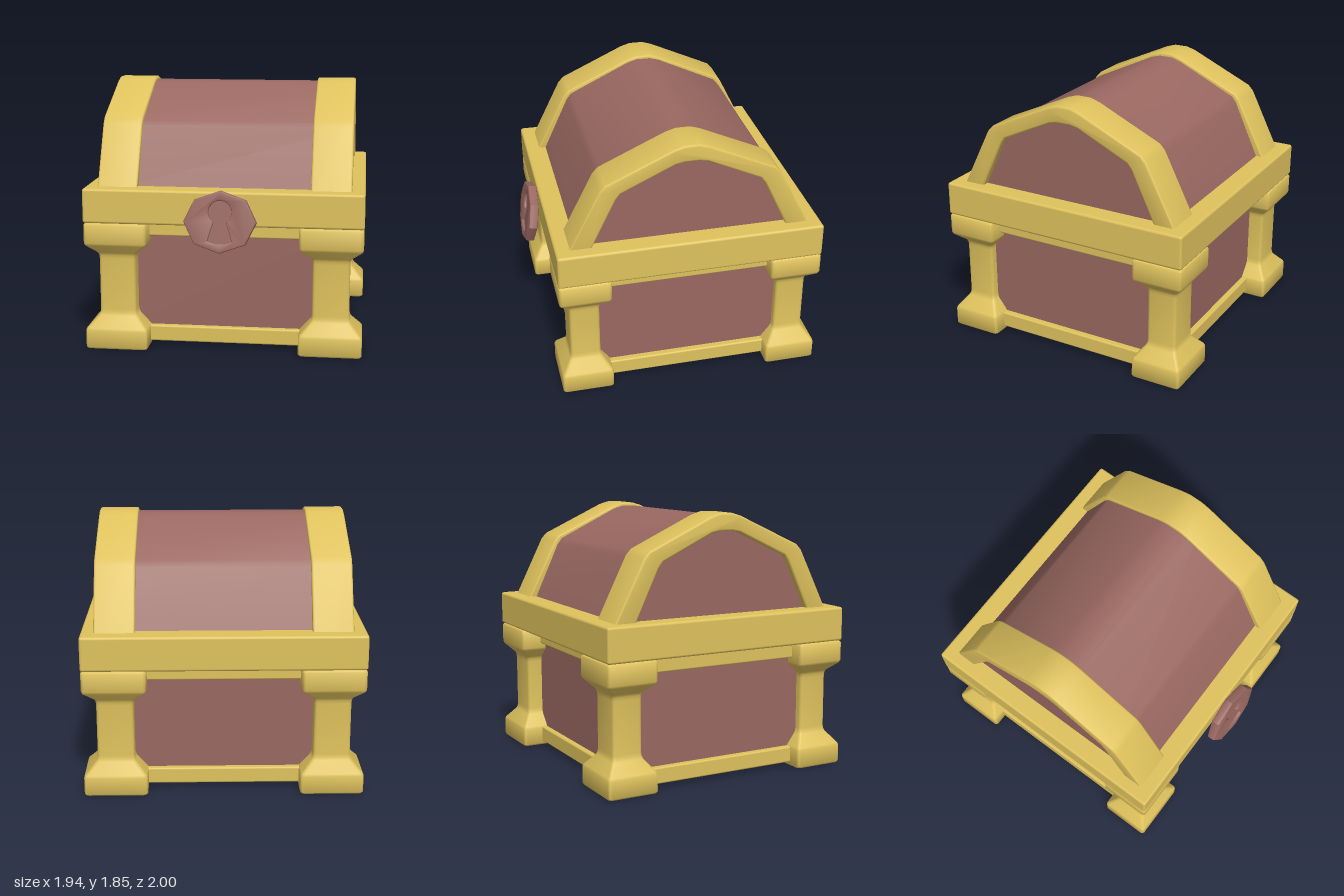
import * as THREE from 'three';
import { toCreasedNormals } from 'three/addons/utils/BufferGeometryUtils.js';
import { RoundedBoxGeometry } from 'three/addons/geometries/RoundedBoxGeometry.js';

const CZ = -0.067; // centre of the chest in z (the lock hangs in front of it)

export function createModel() {
  const root = new THREE.Group();
  root.name = 'treasureChest';
  const gold = new THREE.MeshStandardMaterial({ name: 'gold', color: 0xdfc25d });
  const wood = new THREE.MeshStandardMaterial({ name: 'reddishWood', color: 0x9a6861 });

  const add = (name, geometry, material, parent = root) => {
    const mesh = new THREE.Mesh(geometry, material);
    mesh.name = name;
    parent.add(mesh);
    return mesh;
  };
  // Box given by half sizes in x and z and its bottom and top
  const slab = (name, hx, hz, y0, y1, r, material) =>
    add(name, new RoundedBoxGeometry(hx * 2, y1 - y0, hz * 2, 2, r), material)
      .position.set(0, (y0 + y1) / 2, CZ);

  // Lower box with its rails, and the rim of the lid
  slab('body', 0.82, 0.745, 0.08, 0.86, 0.01, wood);
  slab('bottomRail', 0.865, 0.785, 0.03, 0.145, 0.012, gold);
  slab('topRail', 0.865, 0.785, 0.8, 0.915, 0.012, gold);
  slab('lidRim', 0.97, 0.932, 0.91, 1.153, 0.018, gold);

  // Corner posts: wide foot and cap, slim shaft
  const post = loft([
    [0, 0.2, 0.165], [0.005, 0.212, 0.177], [0.016, 0.22, 0.183],
    [0.135, 0.22, 0.183], [0.152, 0.213, 0.177],
    [0.232, 0.139, 0.116], [0.252, 0.131, 0.109], [0.275, 0.128, 0.107],
    [0.645, 0.128, 0.107], [0.668, 0.131, 0.109], [0.688, 0.139, 0.116],
    [0.75, 0.213, 0.177], [0.768, 0.22, 0.183],
    [0.895, 0.22, 0.183], [0.906, 0.212, 0.177], [0.91, 0.2, 0.165],
  ], 0.022);
  for (const sx of [1, -1]) for (const sz of [1, -1]) {
    add((sz > 0 ? 'front' : 'back') + (sx > 0 ? 'Left' : 'Right') + 'Post', post, gold)
      .position.set(sx * 0.748, 0, CZ + sz * 0.749);
  }

  // Barrel of the lid; its ends are the panels inside the bands
  const barrel = arch([[0.797, 1.12], [0.6, 1.545], [0.565, 1.59], [0.12, 1.802], [0.05, 1.822]]);
  const barrelShape = new THREE.Shape(barrel);
  add('lidBarrel', along(barrelShape, 1.66, 0), wood).position.set(0, 0, CZ);

  // Gold bands over both ends of the lid
  const outer = arch([[0.848, 1.12], [0.622, 1.57], [0.583, 1.612], [0.12, 1.824], [0.05, 1.845]]);
  const inner = arch([[0.695, 1.12], [0.512, 1.5], [0.48, 1.54], [0.11, 1.712], [0.05, 1.725]]);
  const bandShape = new THREE.Shape([...outer, ...inner.reverse()]);
  const band = along(bandShape, 0.28, 0.014);
  for (const s of [1, -1]) {
    add(s > 0 ? 'leftBand' : 'rightBand', band, gold).position.set(s * 0.74, 0, CZ);
  }

  // Tilted eight-sided lock with a sunken keyhole
  const lock = new THREE.Group();
  lock.name = 'lock';
  const octagon = (k) => new THREE.Shape(Array.from({ length: 8 }, (_, i) => {
    const a = i * Math.PI / 4;
    return new THREE.Vector2(Math.cos(a) * 0.248 * k, Math.sin(a) * 0.212 * k);
  }));
  const plate = octagon(1);
  const hole = new THREE.Path();
  hole.moveTo(-0.082, -0.128);
  hole.lineTo(-0.042, 0.0);
  hole.absarc(0, 0.067, 0.078, -2.14, -1.0 - Math.PI * 2 + Math.PI * 2, true);
  hole.lineTo(0.042, 0.0);
  hole.lineTo(0.082, -0.128);
  hole.quadraticCurveTo(0, -0.165, -0.082, -0.128);
  plate.holes.push(hole);
  const b = 0.012;
  const plateGeo = new THREE.ExtrudeGeometry(plate, {
    depth: 0.064 - 2 * b, bevelEnabled: true, bevelSize: b, bevelThickness: b,
    bevelOffset: -b, bevelSegments: 2, curveSegments: 16,
  });
  plateGeo.translate(0, 0, b - 0.032);
  add('lockPlate', toCreasedNormals(plateGeo, 0.6), wood, lock);
  const backing = new THREE.ExtrudeGeometry(octagon(0.85), { depth: 0.046, bevelEnabled: false });
  add('keyholeBacking', backing, wood, lock).position.z = -0.033;
  lock.position.set(0, 0.96, 0.933);
  lock.rotation.x = -0.165;
  root.add(lock);

  return root;
}

// Mirror half a profile, listed from its foot to its crown
function arch(half) {
  const right = half.map(([x, y]) => new THREE.Vector2(x, y));
  const left = half.map(([x, y]) => new THREE.Vector2(-x, y)).reverse();
  return [...right, ...left];
}

// Extrude a profile along x, centred, with an optional rounded edge
function along(shape, width, bevel) {
  const g = new THREE.ExtrudeGeometry(shape, {
    depth: width - 2 * bevel, bevelEnabled: bevel > 0, bevelSize: bevel,
    bevelThickness: bevel, bevelOffset: -bevel, bevelSegments: 3,
  });
  g.translate(0, 0, bevel - width / 2);
  g.rotateY(Math.PI / 2);
  return toCreasedNormals(g, 0.6);
}

// Stack rounded rectangles [y, halfX, halfZ] into a closed solid
function loft(levels, r) {
  const pos = [], index = [], steps = 3, n = 4 * (steps + 1);
  for (const [y, hx, hz] of levels) {
    for (let c = 0; c < 4; c++) {
      const sx = c === 0 || c === 3 ? 1 : -1, sz = c < 2 ? 1 : -1;
      for (let k = 0; k <= steps; k++) {
        const a = (c + k / steps) * Math.PI / 2;
        pos.push(sx * (hx - r) + Math.cos(a) * r, y, sz * (hz - r) + Math.sin(a) * r);
      }
    }
  }
  const last = (levels.length - 1) * n;
  for (let j = 0; j < levels.length - 1; j++) {
    for (let i = 0; i < n; i++) {
      const a = j * n + i, b = j * n + (i + 1) % n;
      index.push(a, a + n, b, b, a + n, b + n);
    }
  }
  for (let i = 1; i < n - 1; i++) {
    index.push(0, i, i + 1, last, last + i + 1, last + i);
  }
  const g = new THREE.BufferGeometry();
  g.setAttribute('position', new THREE.Float32BufferAttribute(pos, 3));
  g.setIndex(index);
  return toCreasedNormals(g, 0.75);
}
